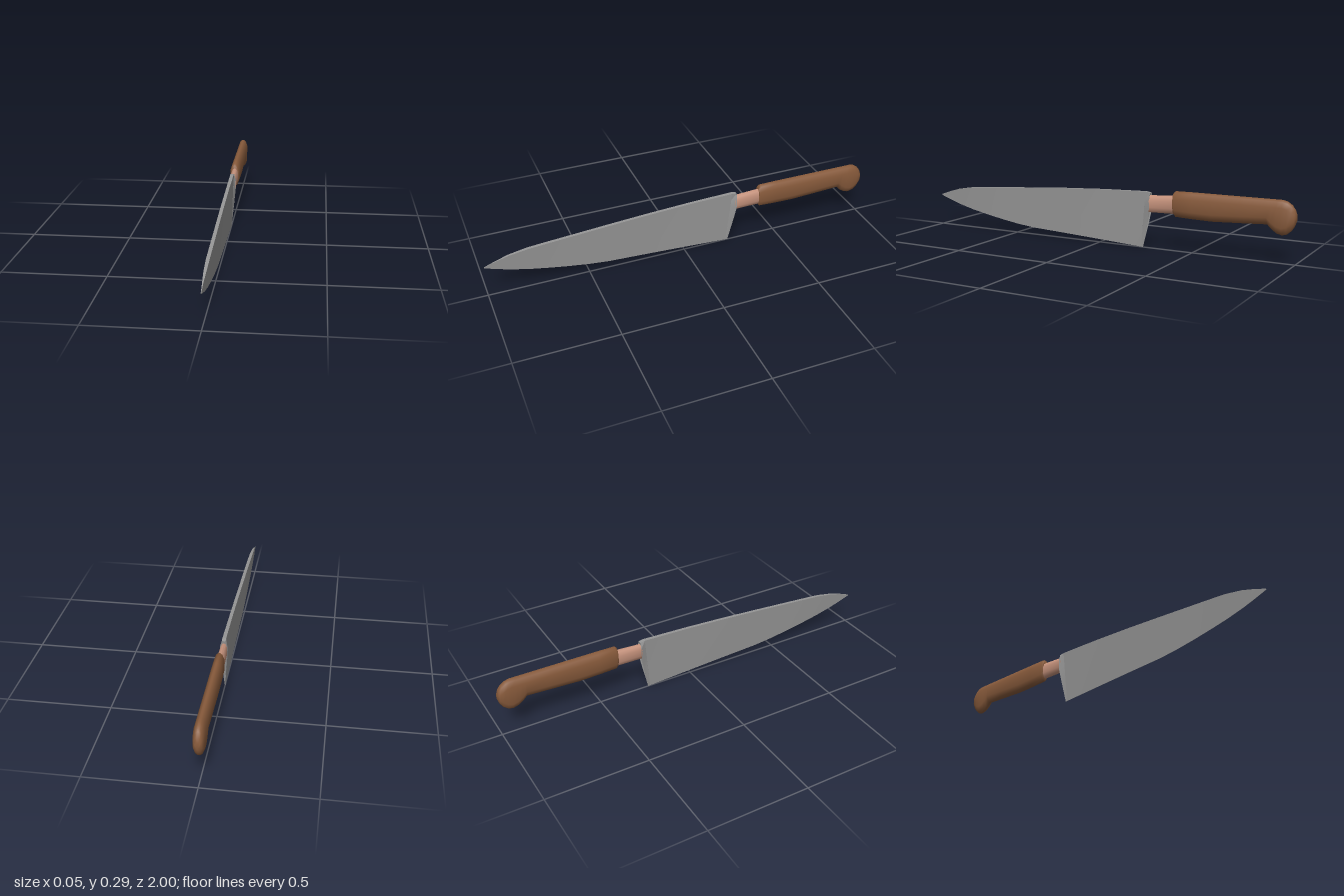
import * as THREE from 'three';
import { toCreasedNormals } from 'three/addons/utils/BufferGeometryUtils.js';

// Lofts mirrored cross-sections, ordered from front (+z) to back.
// Each section lists its +x half as [halfWidth, y, z], bottom to top.
function loft(sections, crease) {
  const rings = sections.map((half) => [
    ...half,
    ...half.slice().reverse().map(([w, y, z]) => [-w, y, z]),
  ]);
  const n = rings[0].length;
  const last = (rings.length - 1) * n;
  const index = [];
  for (let i = 0; i < rings.length - 1; i++) {
    for (let j = 0; j < n; j++) {
      const k = (j + 1) % n;
      const a = i * n + j, b = i * n + k, c = b + n, d = a + n;
      index.push(a, d, c, a, c, b);
    }
  }
  for (let j = 1; j < n - 1; j++) {
    index.push(0, j, j + 1, last, last + j + 1, last + j);
  }
  const geometry = new THREE.BufferGeometry();
  geometry.setAttribute('position', new THREE.Float32BufferAttribute(rings.flat(2), 3));
  geometry.setIndex(index);
  return toCreasedNormals(geometry, crease);
}

// Rounded, tall cross-section between two heights.
function oval(z, bottom, top, width) {
  const h = top - bottom;
  const c = Math.min(0.034, h * 0.3);
  return [
    [width * 0.15, bottom, z],
    [width * 0.6, bottom + c * 0.25, z],
    [width, bottom + c, z],
    [width, top - c, z],
    [width * 0.6, top - c * 0.25, z],
    [width * 0.15, top, z],
  ];
}

export function createModel() {
  const steel = new THREE.MeshStandardMaterial({ color: 0x969696 });
  const copper = new THREE.MeshStandardMaterial({ color: 0xc4917b });
  const wood = new THREE.MeshStandardMaterial({ color: 0x875a3b });
  steel.name = 'steel';
  copper.name = 'copper';
  wood.name = 'wood';

  const group = new THREE.Group();
  group.name = 'kitchenKnife';
  const add = (name, geometry, material) => {
    const mesh = new THREE.Mesh(geometry, material);
    mesh.name = name;
    group.add(mesh);
  };

  // Blade: wedge with a thick spine; rows are z, edge y, spine y, spine half-width
  const blade = [
    [1.0, 0.16, 0.165, 0.001],
    [0.94, 0.139, 0.186, 0.003],
    [0.88, 0.12, 0.203, 0.006],
    [0.79, 0.097, 0.218, 0.008],
    [0.7, 0.079, 0.225, 0.008],
    [0.6, 0.061, 0.232, 0.008],
    [0.5, 0.046, 0.239, 0.008],
    [0.4, 0.035, 0.246, 0.008],
    [0.2, 0.025, 0.259, 0.008],
    [-0.02, 0.013, 0.27, 0.008],
  ].map(([z, edge, spine, w]) => [[0.0006, edge, z], [w, spine, z]]);
  blade.push([[0.0006, 0.001, -0.23], [0.009, 0.277, -0.255]]);
  add('blade', loft(blade, 0.3), steel);

  // Bolster: flares from the blade thickness to the neck along the slanted heel
  const bolsterFront = [
    [0.0006, 0.001, -0.23], [0.0046, 0.13, -0.242], [0.0066, 0.195, -0.248],
    [0.0078, 0.24, -0.252], [0.009, 0.277, -0.255],
  ];
  const bolsterBack = [
    [0.0008, 0, -0.24], [0.011, 0.13, -0.268], [0.018, 0.195, -0.279],
    [0.018, 0.24, -0.28], [0.009, 0.273, -0.28],
  ];
  add('bolster', loft([bolsterFront, bolsterBack], 0.3), steel);

  // Ferrule: copper neck between bolster and handle
  add('ferrule', loft([
    oval(-0.272, 0.177, 0.26, 0.016),
    oval(-0.42, 0.18, 0.268, 0.019),
  ], 0.9), copper);

  // Handle: rows are z, bottom, top, half-width; the butt hooks downward
  const handle = [
    [-0.402, 0.18, 0.282, 0.02],
    [-0.412, 0.167, 0.29, 0.0235],
    [-0.5, 0.163, 0.291, 0.024],
    [-0.6, 0.161, 0.291, 0.024],
    [-0.75, 0.168, 0.291, 0.024],
    [-0.865, 0.174, 0.291, 0.024],
    [-0.885, 0.154, 0.291, 0.024],
    [-0.91, 0.137, 0.291, 0.024],
    [-0.935, 0.13, 0.291, 0.024],
    [-0.957, 0.136, 0.285, 0.0235],
    [-0.978, 0.153, 0.271, 0.022],
    [-0.992, 0.175, 0.252, 0.018],
    [-1.0, 0.198, 0.23, 0.01],
  ].map((row) => oval(...row));
  add('handle', loft(handle, 1.1), wood);

  return group;
}
